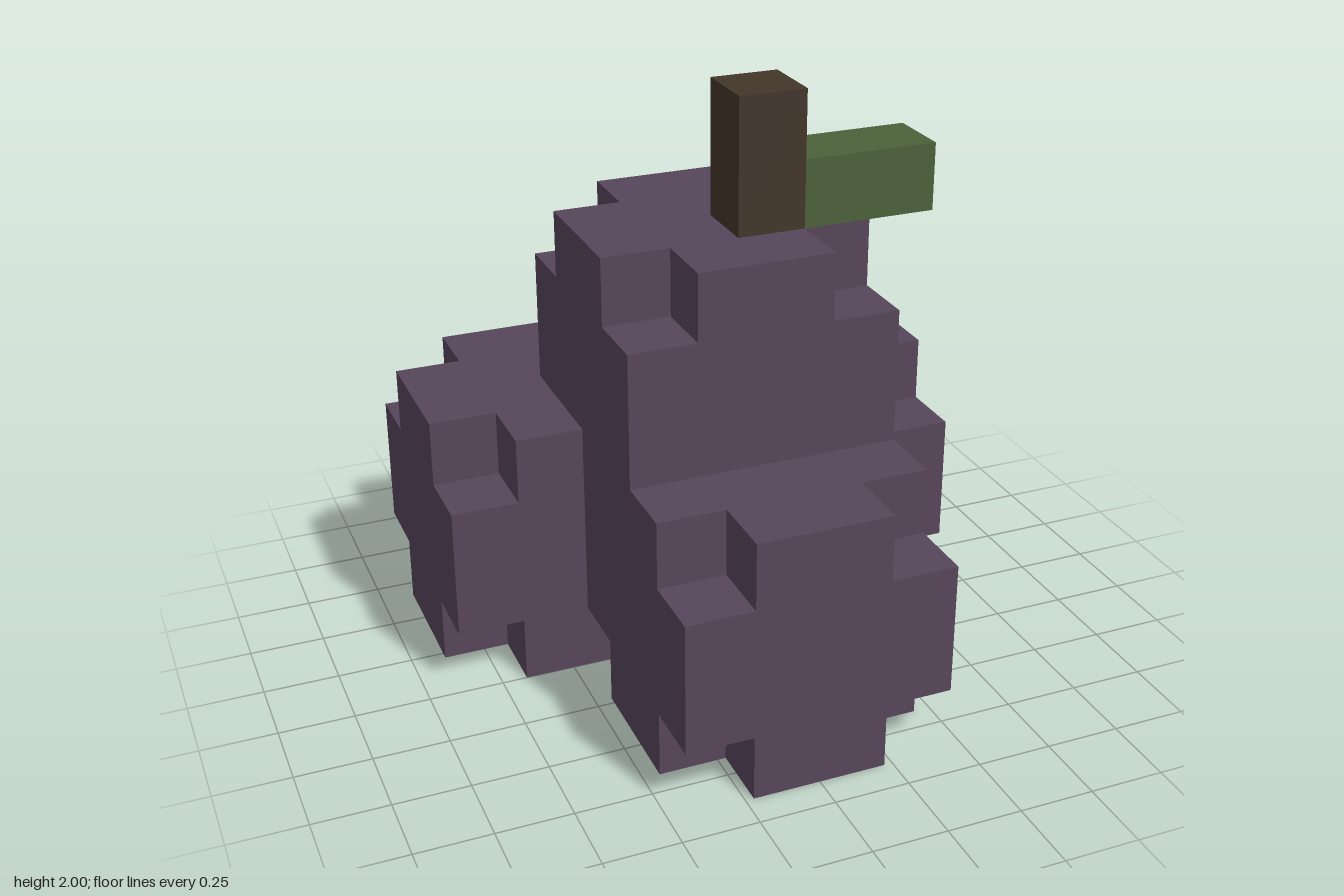
import * as THREE from 'three';

const U = 2 / 9; // edge of one block

const berryMat = new THREE.MeshStandardMaterial({ color: 0x57455a, flatShading: true });
const stemMat = new THREE.MeshStandardMaterial({ color: 0x43362a, flatShading: true });
const leafMat = new THREE.MeshStandardMaterial({ color: 0x4c613a, flatShading: true });

// Box given by its centre and size in blocks
function block(name, material, center, size) {
  const mesh = new THREE.Mesh(new THREE.BoxGeometry(...size.map((s) => s * U)), material);
  mesh.position.set(...center.map((c) => c * U));
  mesh.name = name;
  return mesh;
}

// A 4x4x4 berry with its eight corner blocks missing: three crossing slabs
function berry(name, x, y, z) {
  const group = new THREE.Group();
  group.name = name;
  group.position.set(x * U, y * U, z * U);
  for (const size of [[4, 4, 2], [4, 2, 4], [2, 4, 4]]) {
    group.add(block('berrySlab', berryMat, [0, 0, 0], size));
  }
  return group;
}

export function createModel() {
  const model = new THREE.Group();
  model.name = 'berryCluster';

  // Three berries on the ground, one resting on top
  model.add(berry('backLeftBerry', 2, 2, -2));
  model.add(berry('backRightBerry', -2, 2, -2));
  model.add(berry('frontBerry', 0, 2, 2));
  model.add(berry('topBerry', 0, 5, 0));

  // Stem and the leaf beside it
  model.add(block('stem', stemMat, [0.5, 8, 0.5], [1, 2, 1]));
  model.add(block('leaf', leafMat, [2, 7.5, 0.5], [2, 1, 1]));

  return model;
}
